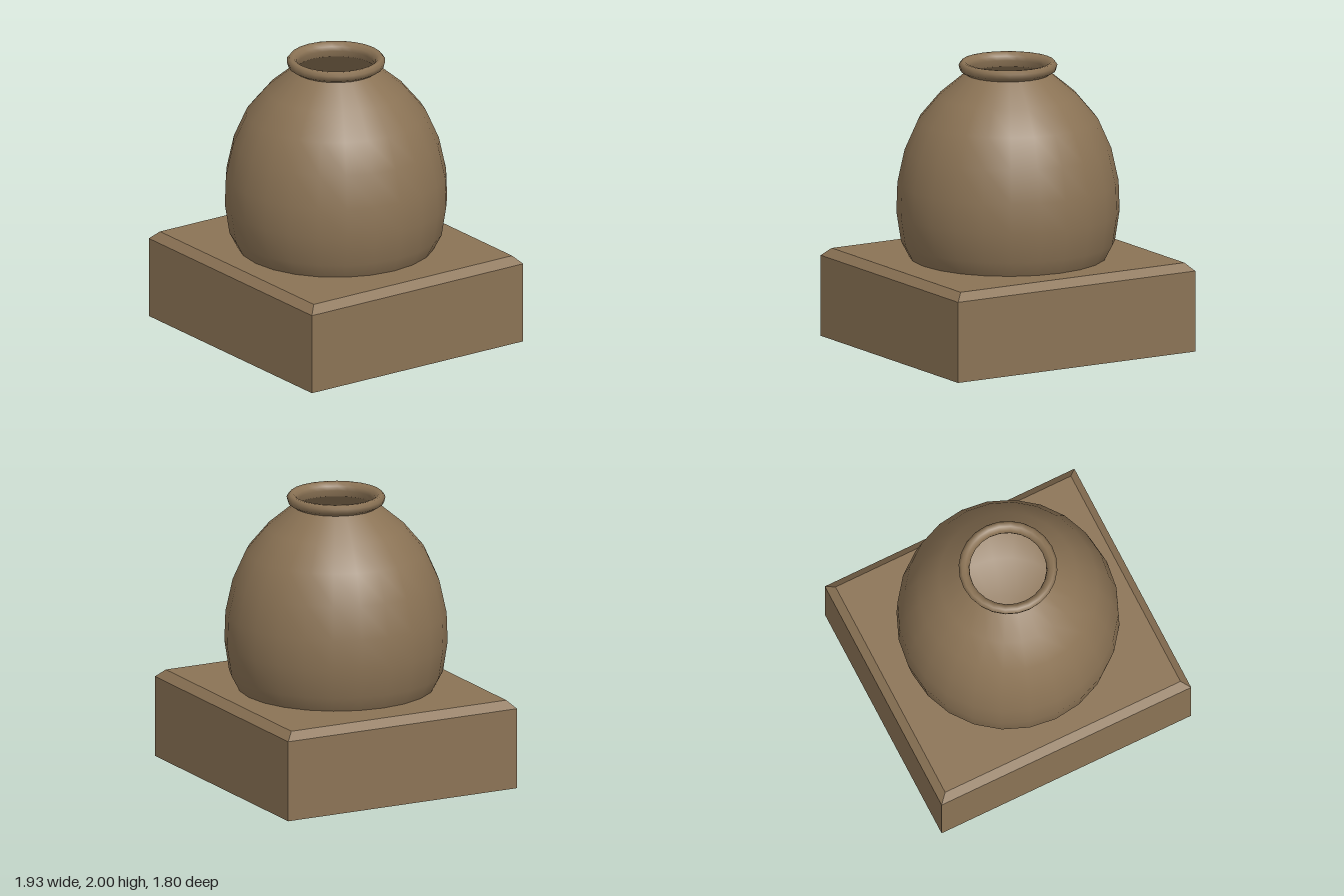
import * as THREE from 'three';

const clay = new THREE.MeshStandardMaterial({ color: 0x8b7355, side: THREE.DoubleSide });
clay.name = 'brownClay';

const SIDES = 24;

// Smooth turned part from [radius, height] pairs
function turned(name, profile) {
  const points = profile.map(([r, y]) => new THREE.Vector2(r, y));
  const mesh = new THREE.Mesh(new THREE.LatheGeometry(points, SIDES), clay);
  mesh.name = name;
  return mesh;
}

// Hollow plinth, open underneath, with a chamfered top edge
function plinth() {
  const rings = [[0.965, 0, 0.9], [0.965, 0.57, 0.9], [0.91, 0.625, 0.845]];
  const corners = [[-1, 1], [1, 1], [1, -1], [-1, -1]];
  const at = (ring, i) => {
    const [x, y, z] = rings[ring];
    const [sx, sz] = corners[i % 4];
    return [sx * x, y, sz * z];
  };
  const positions = [];
  const quad = (a, b, c, d) => positions.push(...a, ...b, ...c, ...a, ...c, ...d);
  for (let ring = 0; ring < 2; ring++) {
    for (let i = 0; i < 4; i++) quad(at(ring, i), at(ring, i + 1), at(ring + 1, i + 1), at(ring + 1, i));
  }
  quad(at(2, 0), at(2, 1), at(2, 2), at(2, 3));
  const geometry = new THREE.BufferGeometry();
  geometry.setAttribute('position', new THREE.Float32BufferAttribute(positions, 3));
  geometry.computeVertexNormals();
  const mesh = new THREE.Mesh(geometry, clay);
  mesh.name = 'plinth';
  return mesh;
}

export function createModel() {
  const model = new THREE.Group();
  model.name = 'potOnPlinth';
  model.add(plinth());

  // Rounded outer wall, seated on the plinth
  model.add(turned('potBody', [
    [0.685, 0.625], [0.74, 0.73], [0.772, 0.94], [0.765, 1.15], [0.715, 1.38],
    [0.622, 1.59], [0.48, 1.76], [0.295, 1.915],
  ]));

  // Rolled lip
  model.add(turned('potRim', [
    [0.295, 1.915], [0.332, 1.938], [0.342, 1.975], [0.322, 2],
    [0.295, 1.997], [0.272, 1.975], [0.266, 1.945], [0.28, 1.9],
  ]));

  // Hollow inside with a bowl-shaped floor
  model.add(turned('potInterior', [
    [0.28, 1.9], [0.45, 1.73], [0.585, 1.57], [0.675, 1.37], [0.725, 1.15], [0.73, 0.95],
    [0.68, 0.83], [0.52, 0.745], [0.27, 0.675], [0.03, 0.64], [0, 0.64],
  ]));

  return model;
}
